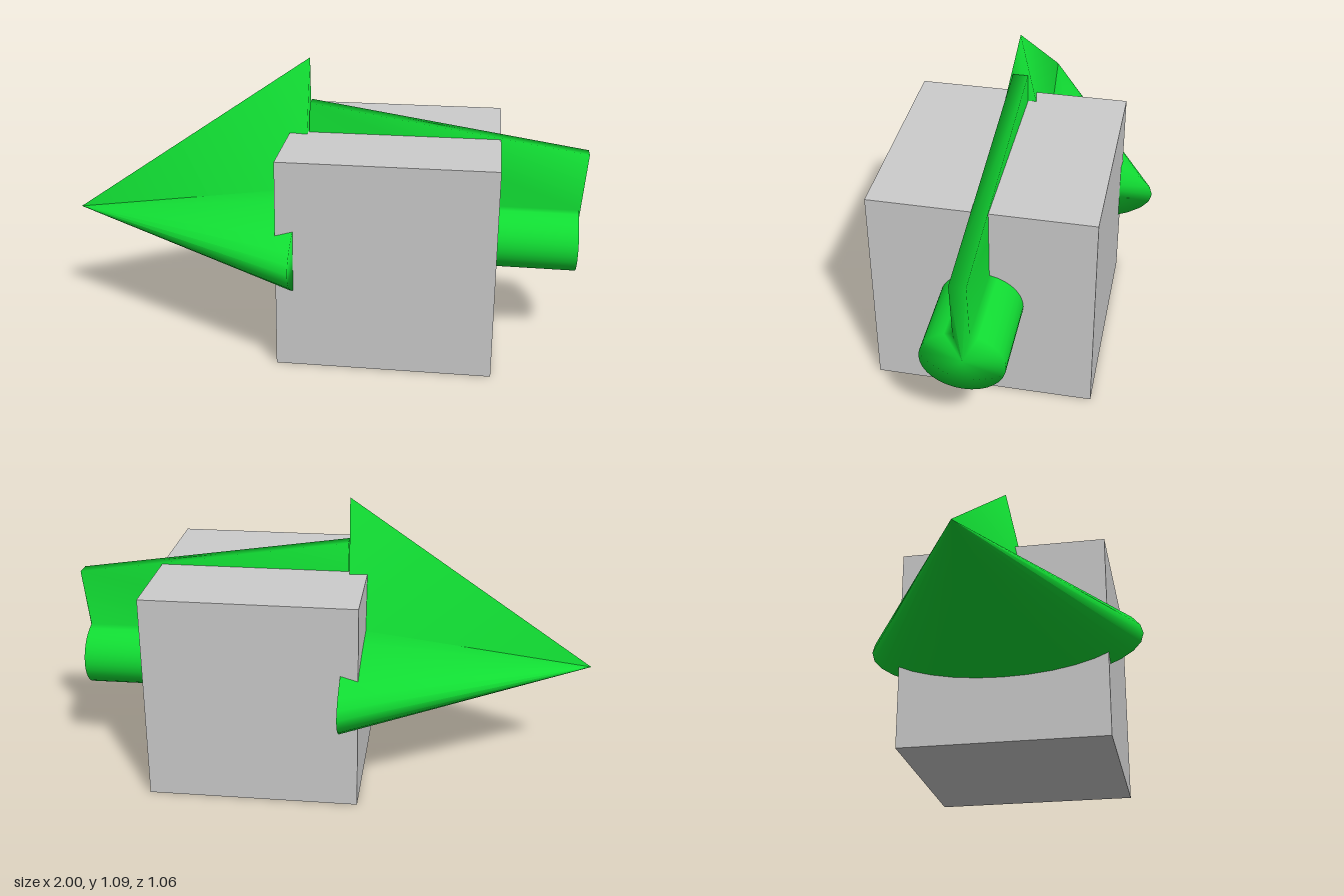
import * as THREE from 'three';

const SEG = 32;

// An elliptical ring across x; the tip points replace its top vertex
function ring(x, cy, ry, rz, tip) {
  const pts = [];
  for (let i = 1; i < SEG; i++) {
    const t = (i / SEG) * Math.PI * 2;
    pts.push([x, cy + ry * Math.cos(t), rz * Math.sin(t)]);
  }
  return pts.concat(tip);
}

// Skin through rings of equal length, running towards +x; poles close the ends
function loft(start, rings, end, material) {
  const n = rings[0].length;
  const rows = [Array(n).fill(start), ...rings, Array(n).fill(end)];
  const index = [];
  for (let r = 0; r < rows.length - 1; r++) {
    for (let i = 0; i < n; i++) {
      const j = (i + 1) % n;
      const a = r * n + i, b = r * n + j, c = b + n, d = a + n;
      if (r > 0) index.push(a, b, c);
      else index.push(a, c, d);
      if (r > 0 && r < rows.length - 2) index.push(a, c, d);
    }
  }
  const geometry = new THREE.BufferGeometry();
  geometry.setAttribute('position', new THREE.Float32BufferAttribute(rows.flat(2), 3));
  geometry.setIndex(index);
  geometry.computeVertexNormals();
  return new THREE.Mesh(geometry, material);
}

export function createModel() {
  const model = new THREE.Group();
  const grey = new THREE.MeshStandardMaterial({ color: 0xcccccc });
  const green = new THREE.MeshStandardMaterial({ color: 0x11dd33 });

  // Cube that the arrow passes through
  const cube = new THREE.Mesh(new THREE.BoxGeometry(0.8, 0.8, 0.8), grey);
  cube.name = 'cube';
  cube.position.set(0.27, 0.4, 0);
  model.add(cube);

  // Flattened cone head with its top vertex drawn up into a spike
  const head = loft(
    [-1, 0.435, 0],
    [ring(-0.065, 0.42, 0.18, 0.528, [[-0.058, 1.085, 0]])],
    [-0.065, 0.42, 0],
    green
  );
  head.name = 'arrowHead';
  model.add(head);

  // Oval shaft with a thin fin raised along its top
  const w = 0.029;
  const shaft = loft(
    [-0.065, 0.41, 0],
    [
      ring(-0.065, 0.415, 0.125, 0.149, [[-0.055, 0.915, -w], [-0.055, 0.915, w]]),
      ring(0.975, 0.41, 0.125, 0.149, [[1, 0.755, -w], [1, 0.755, w]]),
    ],
    [0.975, 0.41, 0],
    green
  );
  shaft.name = 'arrowShaft';
  model.add(shaft);

  return model;
}
